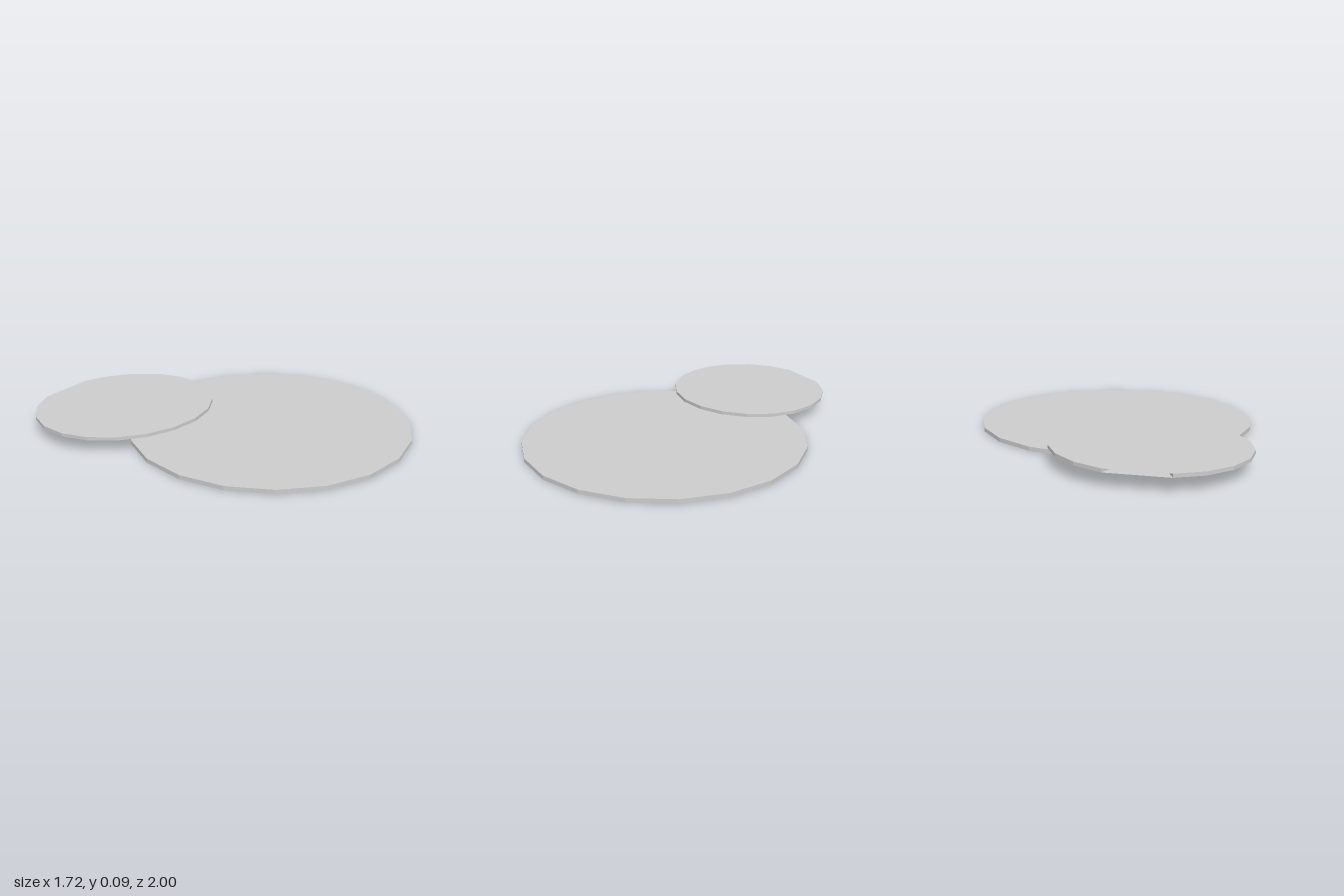
import * as THREE from 'three';

const SIDES = 20;
const material = new THREE.MeshStandardMaterial({ color: 0xcccccc, flatShading: true, side: THREE.DoubleSide });

// Rim points (x, z) of a pad: centre plus two half-axes, going round from axis a towards axis b
function rim(centre, a, b) {
  const points = [];
  for (let i = 0; i < SIDES; i++) {
    const t = (i / SIDES) * Math.PI * 2;
    points.push(centre.clone().addScaledVector(a, Math.cos(t)).addScaledVector(b, Math.sin(t)));
  }
  return points;
}

// Thin slab with the given outline, lying flat from height y upwards
function slab(name, outline, y, thickness) {
  const shape = new THREE.Shape(outline.map((p) => new THREE.Vector2(p.x, -p.y)));
  const geometry = new THREE.ExtrudeGeometry(shape, { depth: thickness, bevelEnabled: false });
  geometry.rotateX(-Math.PI / 2).translate(0, y, 0);
  const mesh = new THREE.Mesh(geometry, material);
  mesh.name = name;
  return mesh;
}

// Flat sheet closing the notch at height y
function sheet(name, corners, y) {
  const geometry = new THREE.ShapeGeometry(new THREE.Shape(corners.map((p) => new THREE.Vector2(p.x, -p.y))));
  geometry.rotateX(-Math.PI / 2).translate(0, y, 0);
  const mesh = new THREE.Mesh(geometry, material);
  mesh.name = name;
  return mesh;
}

export function createModel() {
  const model = new THREE.Group();
  model.name = 'pads';
  const v = (x, z) => new THREE.Vector2(x, z);

  // Large lower pad
  model.add(slab('largePad', rim(v(0.05, 0.205), v(0.807, 0), v(0, 0.795)), 0, 0.023));

  // Small upper pad: the rearmost rim point is pulled inwards to make a notch
  const small = rim(v(-0.347, -0.54), v(0.518, -0.03), v(0.058, 0.473));
  const back = (SIDES * 3) / 4;
  small[back].set(-0.39, -0.653);
  const y = 0.075, thickness = 0.019;
  const smallPad = new THREE.Group();
  smallPad.name = 'smallPad';
  const notch = small.slice(back - 1, back + 2);
  smallPad.add(
    slab('notchedDisc', small, y, thickness),
    sheet('notchTop', notch, y + thickness),
    sheet('notchBottom', notch, y)
  );
  model.add(smallPad);

  return model;
}
